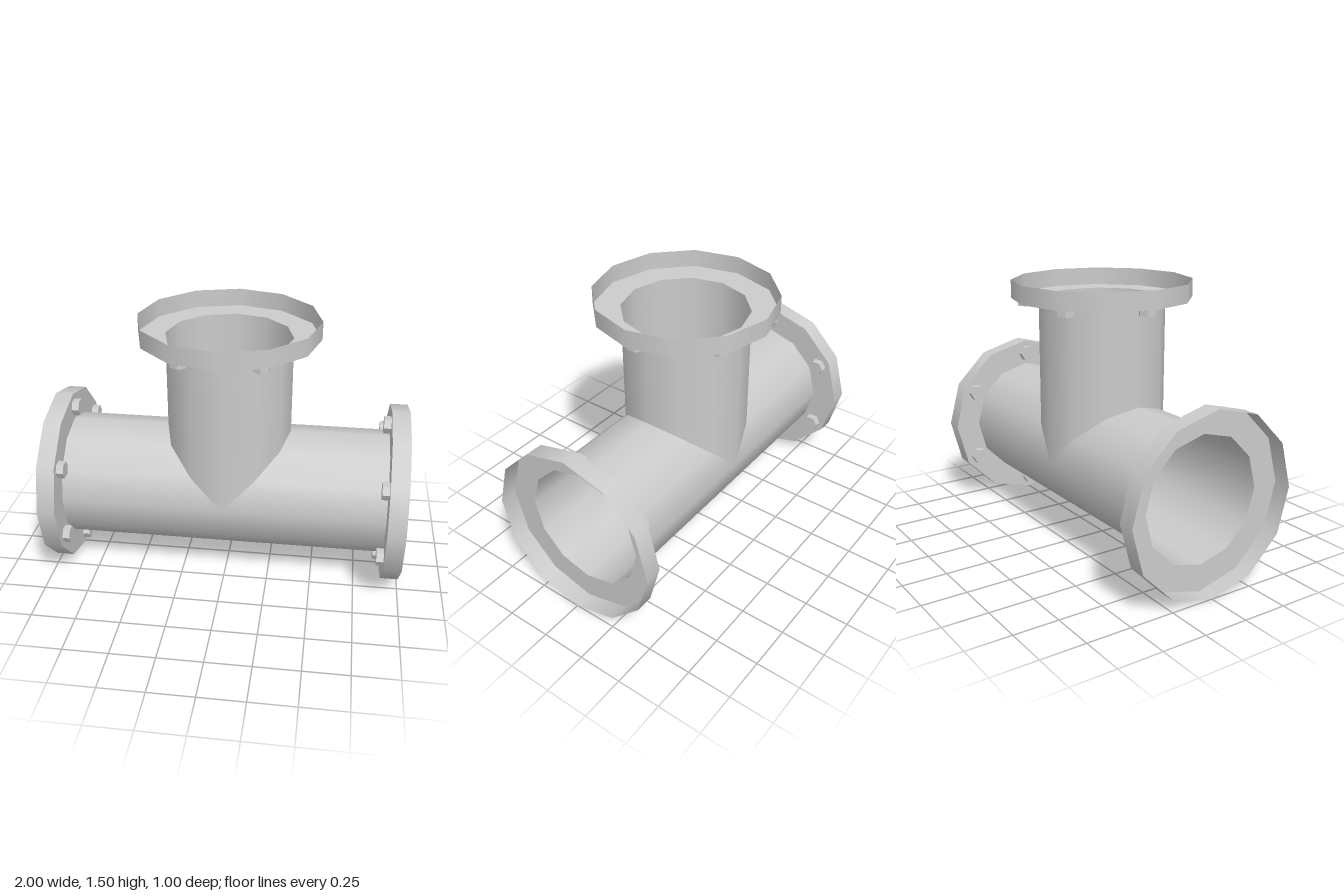
import * as THREE from 'three';

const SIDES = 12, PIPE_R = 0.35, FLANGE_R = 0.5, LENGTH = 0.9, LIP = 0.1;

const shell = new THREE.MeshStandardMaterial({ color: 0xcccccc, side: THREE.DoubleSide });
const faceted = new THREE.MeshStandardMaterial({ color: 0xcccccc, flatShading: true });

function part(name, geometry, material) {
  const mesh = new THREE.Mesh(geometry, material);
  mesh.name = name;
  return mesh;
}

// One arm of the tee along +y; baseHeight(x) gives the mitred inner end.
function makeArm(name, baseHeight) {
  const arm = new THREE.Group();
  arm.name = name;

  // Thin pipe wall, its inner end trimmed along the mitre
  const pipe = new THREE.CylinderGeometry(PIPE_R, PIPE_R, LENGTH, SIDES, 1, true);
  pipe.translate(0, LENGTH / 2, 0);
  const p = pipe.attributes.position;
  for (let i = 0; i < p.count; i++) {
    if (p.getY(i) < LENGTH / 2) p.setY(i, baseHeight(p.getX(i)));
  }
  arm.add(part('pipe', pipe, shell));

  // Flange: flat ring with an open outer lip
  const ring = new THREE.RingGeometry(PIPE_R, FLANGE_R, SIDES);
  ring.rotateX(-Math.PI / 2).translate(0, LENGTH, 0);
  arm.add(part('flangeRing', ring, shell));
  const lip = new THREE.CylinderGeometry(FLANGE_R, FLANGE_R, LIP, SIDES, 1, true);
  lip.translate(0, LENGTH + LIP / 2, 0);
  arm.add(part('flangeLip', lip, shell));

  // Six hexagonal bolt heads on the inner side of the flange
  const bolt = new THREE.CylinderGeometry(0.048, 0.048, 0.04, 6);
  for (let i = 0; i < 6; i++) {
    const a = (i * Math.PI) / 3;
    const head = part('bolt', bolt, faceted);
    head.position.set(0.42 * Math.cos(a), LENGTH - 0.02, 0.42 * Math.sin(a));
    arm.add(head);
  }
  return arm;
}

export function createModel() {
  const model = new THREE.Group();
  model.name = 'pipeTee';

  const branch = makeArm('branchArm', (x) => Math.abs(x));
  const left = makeArm('leftArm', (x) => Math.max(0, -x));
  left.rotation.z = -Math.PI / 2;
  const right = makeArm('rightArm', (x) => Math.max(0, x));
  right.rotation.z = Math.PI / 2;

  for (const arm of [branch, left, right]) {
    arm.position.y = FLANGE_R;
    model.add(arm);
  }
  return model;
}
